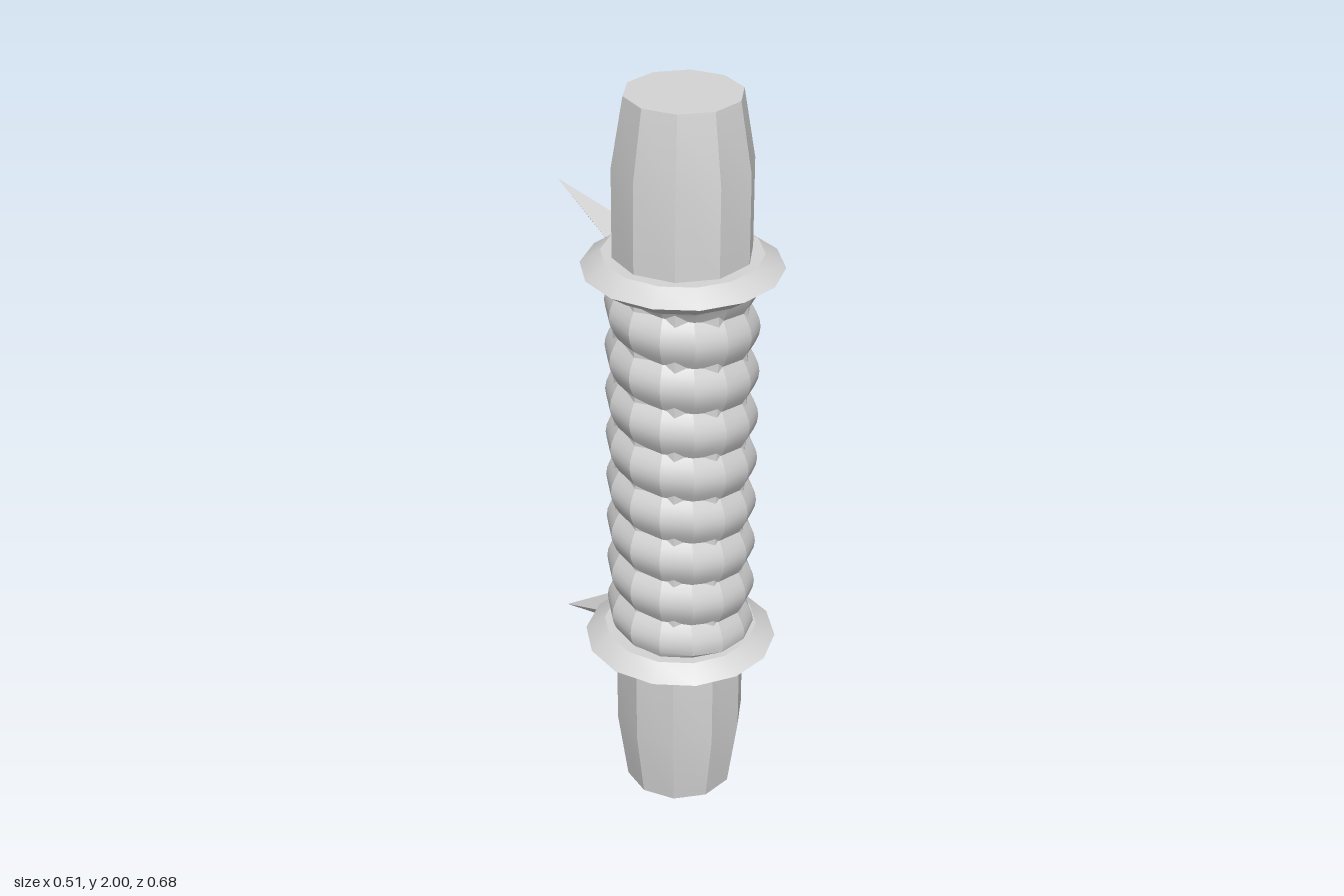
import * as THREE from 'three';
import { toCreasedNormals } from 'three/addons/utils/BufferGeometryUtils.js';

const AXIS_Z = 0.091; // the handle axis sits forward of the centre

export function createModel() {
  const model = new THREE.Group();
  model.name = 'handle';
  const grey = new THREE.MeshStandardMaterial({ color: 0xd4d4d4 });
  grey.name = 'grey metal';

  const add = (name, geometry, z = 0) => {
    const mesh = new THREE.Mesh(geometry, grey);
    mesh.name = name;
    mesh.position.z = z;
    model.add(mesh);
  };
  const lathe = (points, sides, crease) => toCreasedNormals(
    new THREE.LatheGeometry(points.map(([r, y]) => new THREE.Vector2(r, y)), sides, Math.PI / 2), crease);

  // Ten-sided shaft, tapered at both ends
  add('shaft', lathe([[0, 0], [0.145, 0], [0.173, 0.2], [0.173, 0.46], [0.177, 1.55],
    [0.177, 1.82], [0.147, 2], [0, 2]], 10, 0.4), AXIS_Z);

  // Sharp-rimmed guard rings
  for (const [name, y] of [['lowerRing', 0.46], ['upperRing', 1.55]]) {
    add(name, lathe([[0.15, y - 0.036], [0.203, y - 0.036], [0.254, y],
      [0.203, y + 0.036], [0.15, y + 0.036]], 14, 0.55), AXIS_Z);
  }

  // Coiled grip between the rings
  add('coiledGrip', coil(), AXIS_Z);

  // Spikes behind the rings, mirrored up and down
  add('upperSpike', spike(false));
  add('lowerSpike', spike(true));

  // Square button on the left side
  const button = new THREE.BoxGeometry(0.09, 0.115, 0.175);
  button.translate(0.154, 1.638, 0.047);
  add('button', button);
  return model;
}

// A rounded strip wound in a helix, faceted around and cut flat at both ends
function coil() {
  const sides = 14, arc = 6, pitch = 0.126, turns = 10, low = 0.5, high = 1.51;
  const positions = [], index = [];
  for (let i = 0; i <= sides * turns; i++) {
    const angle = (i / sides) * Math.PI * 2;
    const centre = 0.361 + (i / sides) * pitch;
    for (let j = 0; j <= arc; j++) {
      const t = (j / arc) * 2 - 1;
      const r = 0.172 + 0.023 * Math.cos(t * Math.PI / 2);
      const y = THREE.MathUtils.clamp(centre + t * pitch / 2, low, high);
      positions.push(r * Math.cos(angle), y, r * Math.sin(angle));
    }
  }
  const row = arc + 1;
  const yOf = k => positions[k * 3 + 1];
  for (let i = 0; i < sides * turns; i++) {
    for (let j = 0; j < arc; j++) {
      const a = i * row + j, b = a + 1, c = a + row, d = c + 1;
      for (const [p, q, s] of [[a, b, c], [b, d, c]]) {
        if (yOf(p) !== yOf(q) || yOf(p) !== yOf(s)) index.push(p, q, s);
      }
    }
  }
  const geometry = new THREE.BufferGeometry();
  geometry.setAttribute('position', new THREE.Float32BufferAttribute(positions, 3));
  geometry.setIndex(index);
  return toCreasedNormals(geometry, 0.38);
}

// Four-sided spike with a diamond base
function spike(flip) {
  const corners = [[0, 1.605, -0.065], [0.041, 1.567, -0.13], [0, 1.53, -0.155], [-0.041, 1.567, -0.13]];
  const tip = [0, 1.655, -0.337];
  const faces = [];
  for (let i = 0; i < 4; i++) faces.push([corners[(i + 1) % 4], tip, corners[i]]);
  faces.push([corners[2], corners[1], corners[0]], [corners[3], corners[2], corners[0]]);
  const place = ([x, y, z]) => [x, flip ? 2.005 - y : y, z];
  const positions = faces.flatMap(f => (flip ? [...f].reverse() : f).flatMap(place));
  const geometry = new THREE.BufferGeometry();
  geometry.setAttribute('position', new THREE.Float32BufferAttribute(positions, 3));
  geometry.computeVertexNormals();
  return geometry;
}
